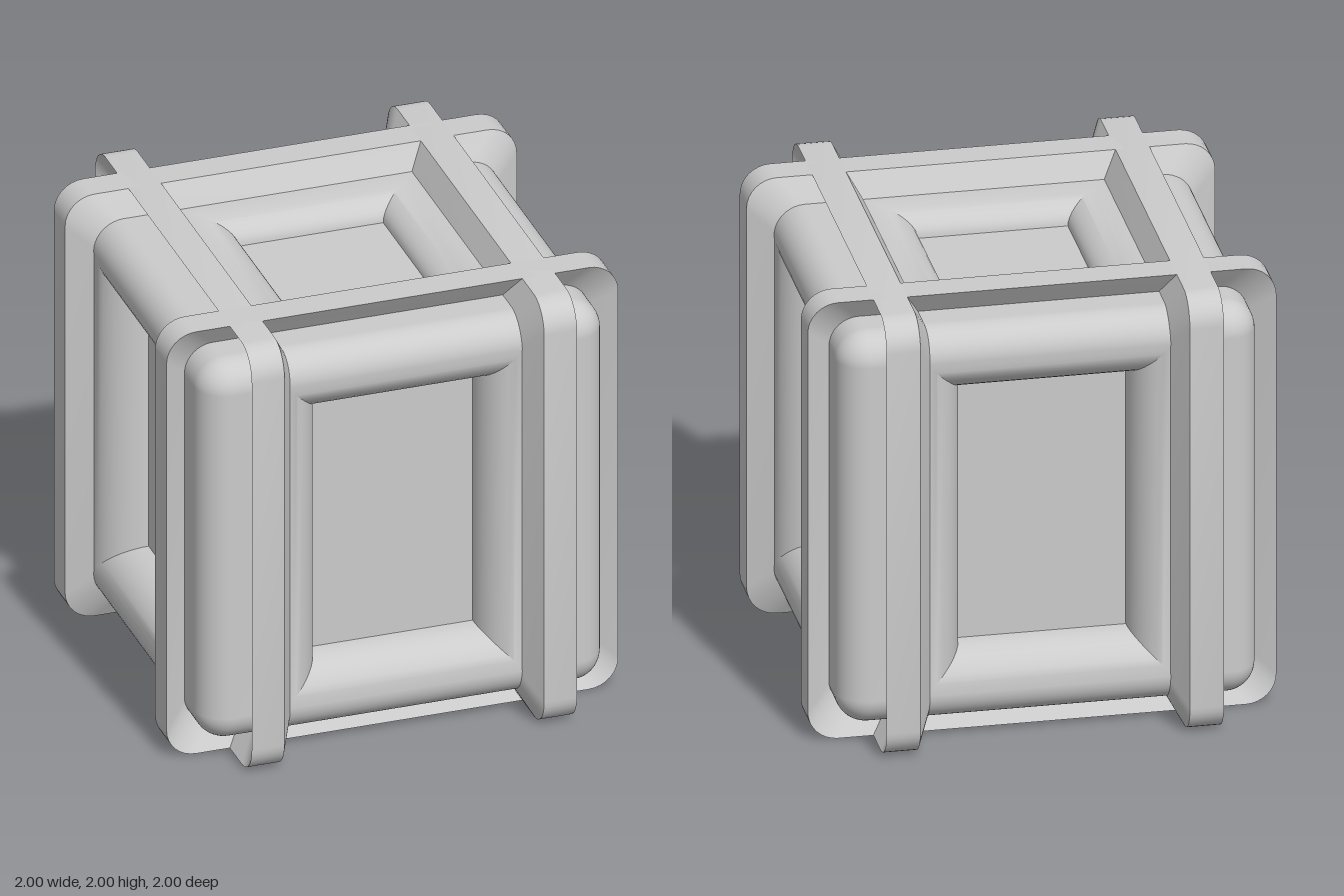
import * as THREE from 'three';
import { toCreasedNormals } from 'three/addons/utils/BufferGeometryUtils.js';
import { RoundedBoxGeometry } from 'three/addons/geometries/RoundedBoxGeometry.js';

const HALF = 0.895;           // half size of the crate body
const ROUND = 0.13;           // radius of its edges
const FLAT = HALF - ROUND;    // half size of the flat part of each face

const material = new THREE.MeshStandardMaterial({ color: 0xcccccc });

function geometryFromTriangles(points, crease) {
  const geometry = new THREE.BufferGeometry();
  geometry.setAttribute('position', new THREE.Float32BufferAttribute(points.flat(), 3));
  return toCreasedNormals(geometry, crease);
}

const quad = (a, b, c, d) => [a, b, c, a, c, d];

// Rounded body with the flat middle left open on the faces that get a recessed panel
function bodyGeometry() {
  const box = new RoundedBoxGeometry(2 * HALF, 2 * HALF, 2 * HALF, 6, ROUND).toNonIndexed();
  const pos = box.attributes.position, nor = box.attributes.normal;
  const positions = [], normals = [];
  for (let i = 0; i < pos.count; i += 3) {
    const corners = [0, 1, 2].map(k => new THREE.Vector3().fromBufferAttribute(pos, i + k));
    const isMiddle = ['x', 'y', 'z'].some(axis => {
      const others = ['x', 'y', 'z'].filter(o => o !== axis);
      return corners.every(c => Math.abs(c[axis]) > HALF - 1e-3 &&
        others.every(o => Math.abs(c[o]) < FLAT + 1e-3));
    });
    if (isMiddle && corners[0].y > -HALF + 1e-3) continue;
    for (let k = 0; k < 3; k++) {
      positions.push(...corners[k].toArray());
      normals.push(nor.getX(i + k), nor.getY(i + k), nor.getZ(i + k));
    }
  }
  const geometry = new THREE.BufferGeometry();
  geometry.setAttribute('position', new THREE.Float32BufferAttribute(positions, 3));
  geometry.setAttribute('normal', new THREE.Float32BufferAttribute(normals, 3));
  return geometry;
}

// Face with a sunken panel: mitred rectangular rings rolling from the floor up to the flat rim
function panelGeometry(halfWidth, halfHeight, depth, roll) {
  const ring = (w, h, z) => [[w, h, z], [-w, h, z], [-w, -h, z], [w, -h, z]];
  const rings = [];
  const steps = 10;
  for (let i = 0; i <= steps; i++) {
    const a = (i / steps) * Math.PI / 2;
    const out = roll * (1 - Math.cos(a));
    rings.push(ring(halfWidth + out, halfHeight + out, HALF - depth * (1 - Math.sin(a))));
  }
  rings.push(ring(FLAT, FLAT, HALF));
  const points = quad(...rings[0]);
  for (let i = 0; i < rings.length - 1; i++) {
    for (let c = 0; c < 4; c++) {
      const n = (c + 1) % 4;
      points.push(...quad(rings[i][c], rings[i + 1][c], rings[i + 1][n], rings[i][n]));
    }
  }
  return geometryFromTriangles(points, 0.5);
}

// Band around the body: a rounded square loop whose sides taper towards the centre
function strapGeometry() {
  const radius = 0.13, steps = 8, inner = 0.88;
  const path = [];
  for (let corner = 0; corner < 4; corner++) {
    const mid = (corner + 0.5) * Math.PI / 2;
    const cy = Math.sign(Math.cos(mid)) * (1 - radius);
    const cz = Math.sign(Math.sin(mid)) * (1 - radius);
    for (let i = 0; i <= steps; i++) {
      const a = (corner + i / steps) * Math.PI / 2;
      path.push([cy + radius * Math.cos(a), cz + radius * Math.sin(a)]);
    }
  }
  const profile = [[0.72, 1], [0.575, 1], [0.575, inner], [0.72, inner]];
  const vertex = (i, j) => {
    const [x, k] = profile[i % 4];
    const [y, z] = path[j % path.length];
    return [x * k, y * k, z * k];
  };
  const points = [];
  for (let j = 0; j < path.length; j++) {
    for (let i = 0; i < 4; i++) {
      points.push(...quad(vertex(i, j), vertex(i + 1, j), vertex(i + 1, j + 1), vertex(i, j + 1)));
    }
  }
  return geometryFromTriangles(points, 0.5);
}

export function createModel() {
  const crate = new THREE.Group();
  crate.name = 'crate';

  const add = (name, geometry) => {
    const mesh = new THREE.Mesh(geometry, material);
    mesh.name = name;
    mesh.position.y = 1;
    crate.add(mesh);
    return mesh;
  };

  add('body', bodyGeometry());

  // Side panels and straps, one of each per quarter turn
  const sidePanel = panelGeometry(0.36, 0.59, 0.19, 0.175);
  const strap = strapGeometry();
  ['front', 'left', 'back', 'right'].forEach((side, i) => {
    add(side + 'Panel', sidePanel).rotation.y = i * Math.PI / 2;
    add(side + 'Strap', strap).rotation.y = (i - 1) * Math.PI / 2;
  });

  // Lid panel
  add('topPanel', panelGeometry(0.32, 0.32, 0.11, 0.19)).rotation.x = -Math.PI / 2;

  return crate;
}
